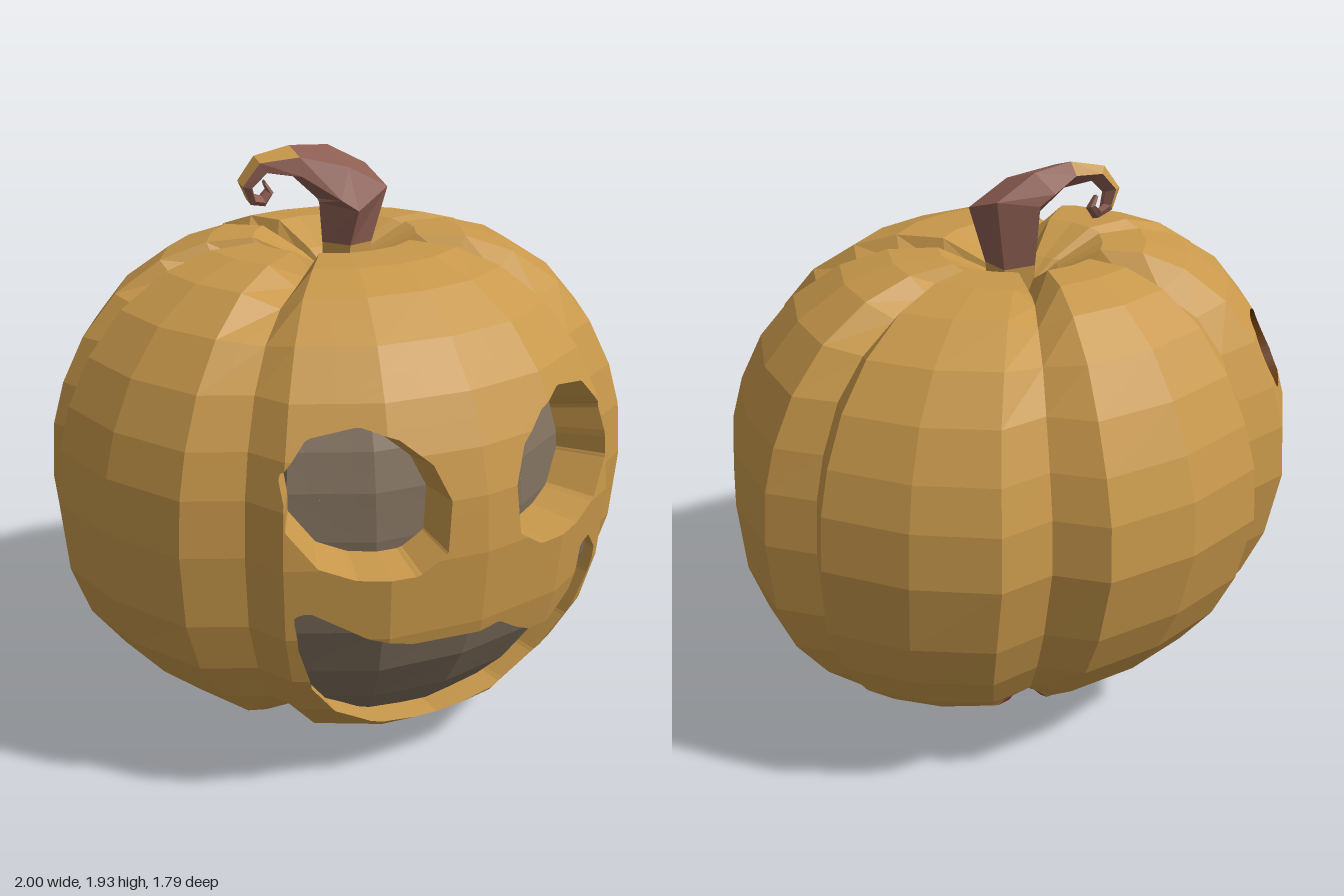
import * as THREE from 'three';

const mat = (name, color) => {
  const m = new THREE.MeshStandardMaterial({ color });
  m.name = name;
  m.flatShading = true;
  return m;
};

// Plan outline of the left half, front to back: x, z, groove flag
const HALF = [
  [0, 0.895], [0.31, 0.855], [0.59, 0.71], [0.65, 0.58, 1], [0.82, 0.49], [0.95, 0.23], [1, -0.05],
  [0.9, -0.19, 1], [0.94, -0.28], [0.79, -0.525], [0.59, -0.71], [0.41, -0.72, 1], [0.3, -0.86], [0, -0.9],
];
const OUTLINE = [...HALF, ...HALF.slice(1, -1).reverse().map(([x, z, g]) => [-x, z, g])];

// Rib profile from bottom to top: outline scale, height, groove lift, forward lean of front and back
const PROFILE = [
  [0, 0.02, 0, 0, 0], [0.15, 0.005, 0.03, 0.05, 0.02], [0.36, 0.07, 0.05, 0.08, 0.05],
  [0.55, 0.15, 0.055, 0.09, 0.1], [0.67, 0.215, 0.03, 0.09, 0.13], [0.81, 0.34, 0, 0.055, 0.09],
  [0.92, 0.49, 0, 0.02, 0.07], [0.98, 0.66, 0, 0, 0.04], [1, 0.9, 0, 0, 0], [0.985, 1.08, 0, 0, 0],
  [0.945, 1.22, 0, 0, 0.01], [0.87, 1.37, 0, 0, 0.02], [0.755, 1.505, -0.02, 0, 0.02],
  [0.6, 1.605, -0.05, 0, 0.02], [0.44, 1.652, -0.07, 0.01, 0.01], [0.28, 1.656, -0.09, 0, 0],
  [0.12, 1.58, -0.06, 0, 0], [0, 1.5, 0, 0, 0],
];
const RED_ROWS = 3;
const CENTRE_Z = -0.06;

// Face cut-outs in x, y
const EYE = [
  [0.115, 1.08], [0.16, 1.19], [0.25, 1.27], [0.35, 1.31], [0.49, 1.28], [0.575, 1.18], [0.58, 1.02],
  [0.5, 0.905], [0.4, 0.865], [0.22, 0.86], [0.13, 0.92],
];
const MOUTH = [
  [-0.56, 0.74], [-0.52, 0.755], [-0.46, 0.72], [-0.36, 0.66], [-0.22, 0.62], [0, 0.615], [0.08, 0.625],
  [0.16, 0.57], [0.22, 0.54], [0.32, 0.54], [0.42, 0.6], [0.44, 0.68], [0.45, 0.76], [0.5, 0.77],
  [0.555, 0.7], [0.55, 0.6], [0.48, 0.45], [0.38, 0.32], [0.25, 0.24], [0, 0.2], [-0.25, 0.24],
  [-0.38, 0.32], [-0.48, 0.45], [-0.54, 0.62],
];

// Signed distance to a polygon, negative inside
function polygonDistance(poly, x, y) {
  let best = Infinity, inside = false;
  poly.forEach(([ax, ay], i) => {
    const [bx, by] = poly[(i + 1) % poly.length];
    const ex = bx - ax, ey = by - ay;
    const t = THREE.MathUtils.clamp(((x - ax) * ex + (y - ay) * ey) / (ex * ex + ey * ey), 0, 1);
    best = Math.min(best, Math.hypot(x - ax - t * ex, y - ay - t * ey));
    if (ay > y !== by > y && x < ax + ((y - ay) / ey) * ex) inside = !inside;
  });
  return inside ? -best : best;
}

const MIDDLE = new THREE.Vector3(0, 0.95, 0);
const EYE_TARGET = new THREE.Vector3(0, 0.95, -0.3);
const HOLE_AXIS = new THREE.Vector3(-0.68, 0.33, -0.52).normalize();
const insetTowards = (target, depth) => (p) => p.clone().addScaledVector(target.clone().sub(p).normalize(), depth);
const faceCut = (poly) => (p) => (p.z > 0.2 ? polygonDistance(poly, p.x, p.y) : 9);

const CUTS = [
  { plate: 'leftEye', wall: 'eyeAndMouthWalls', f: faceCut(EYE), inset: insetTowards(EYE_TARGET, 0.17) },
  {
    plate: 'rightEye', wall: 'eyeAndMouthWalls', inset: insetTowards(EYE_TARGET, 0.17),
    f: faceCut(EYE.map(([x, y]) => [-x, y])),
  },
  {
    // Deeper towards the lower lip
    plate: 'mouth', wall: 'eyeAndMouthWalls', f: faceCut(MOUTH),
    inset: (p) => p.clone().addScaledVector(
      new THREE.Vector3(-0.18 * p.x, 0, -p.z).normalize(), 0.05 + 0.12 * (0.6 - p.y)),
  },
  {
    plate: 'backHole', wall: 'backHoleWall', inset: insetTowards(MIDDLE, 0.08),
    f: (p) => {
      const d = p.clone().sub(MIDDLE), along = d.dot(HOLE_AXIS);
      return along > 0 ? Math.sqrt(Math.max(0, d.lengthSq() - along * along)) - 0.138 : 9;
    },
  },
];

export function createModel() {
  const group = new THREE.Group();
  const rind = mat('pumpkin rind', 0xc8984b);
  const red = mat('dark red base', 0x964040);
  const brown = mat('stem brown', 0x8e5f53);
  const grey = mat('hollow grey', 0x80705e);
  const dark = mat('hole brown', 0x683c10);

  const faces = {};
  const addPoly = (name, pts) => {
    const list = (faces[name] ??= []);
    for (let i = 1; i + 1 < pts.length; i++) list.push(pts[0], pts[i], pts[i + 1]);
  };

  // Keep the part of a triangle outside a cut; recess the part inside and join them by a wall
  function clip(tri, cut, name) {
    const v = tri.map(cut.f), out = [], inn = [];
    let leave, enter;
    tri.forEach((p, i) => {
      const k = (i + 1) % 3;
      (v[i] >= 0 ? out : inn).push(p);
      if (v[i] >= 0 === v[k] >= 0) return;
      const m = p.clone().lerp(tri[k], v[i] / (v[i] - v[k]));
      out.push(m);
      inn.push(m);
      if (v[i] >= 0) leave = m;
      else enter = m;
    });
    if (out.length) addPoly(name, out);
    if (inn.length) addPoly(cut.plate, inn.map(cut.inset));
    if (leave) addPoly(cut.wall, [enter, leave, cut.inset(leave), cut.inset(enter)]);
  }

  // Split triangles only near the edge of a cut
  function carve(tri, name) {
    const [a, b, c] = tri;
    const size = Math.max(a.distanceTo(b), b.distanceTo(c), c.distanceTo(a));
    if (new THREE.Triangle(a, b, c).getArea() < 1e-9) return;
    const mid = a.clone().add(b).add(c).divideScalar(3);
    const cut = CUTS.reduce((p, q) => (q.f(mid) < p.f(mid) ? q : p));
    const d = cut.f(mid);
    if (d > size) addPoly(name, tri);
    else if (d < -size) addPoly(cut.plate, tri.map(cut.inset));
    else if (size < 0.03) clip(tri, cut, name);
    else {
      const ab = a.clone().lerp(b, 0.5), bc = b.clone().lerp(c, 0.5), ca = c.clone().lerp(a, 0.5);
      [[a, ab, ca], [ab, b, bc], [ca, bc, c], [ab, bc, ca]].forEach((t) => carve(t, name));
    }
  }

  // Ribbed body
  const rows = PROFILE.map(([r, y, lift, front, back]) => OUTLINE.map(([x, z, groove]) =>
    new THREE.Vector3(x * r, y + (groove ? lift : 0),
      CENTRE_Z * (1 - r) + z * r + (Math.abs(z) / 0.9) * (z > 0 ? front : back))));
  for (let i = 0; i + 1 < rows.length; i++) {
    const name = i < RED_ROWS ? 'base' : 'body';
    OUTLINE.forEach((_, j) => {
      const k = (j + 1) % OUTLINE.length;
      const a = rows[i][j], b = rows[i][k], c = rows[i + 1][k], d = rows[i + 1][j];
      carve([a, b, c], name);
      carve([a, c, d], name);
    });
  }

  // Curled five-sided stem: x, y, z, radius in the curl plane, radius along z, heading in degrees
  const STEM = [
    [0.05, 1.48, -0.07, 0.08, 0.075, 90], [0.055, 1.62, -0.07, 0.088, 0.085, 88],
    [0.075, 1.795, -0.07, 0.125, 0.125, 108], [0.0, 1.84, -0.085, 0.085, 0.12, 150],
    [-0.11, 1.885, -0.12, 0.045, 0.065, 175], [-0.21, 1.88, -0.16, 0.028, 0.04, 215],
    [-0.257, 1.82, -0.18, 0.023, 0.035, 265], [-0.235, 1.768, -0.185, 0.018, 0.03, 320],
    [-0.19, 1.755, -0.19, 0.015, 0.025, 10], [-0.165, 1.785, -0.19, 0.012, 0.02, 85],
    [-0.185, 1.815, -0.19, 0.008, 0.012, 150],
  ];
  const rings = STEM.map(([x, y, z, rn, rz, deg], i) => {
    const a = THREE.MathUtils.degToRad(deg);
    const rise = i > 1 ? 0.35 : 0; // the top slopes up to the back
    return [0, 1, 2, 3, 4].map((j) => {
      const t = ((j + 0.5) * 2 * Math.PI) / 5, n = rn * Math.cos(t), back = rz * Math.sin(t);
      return new THREE.Vector3(x + n * Math.sin(a), y - n * Math.cos(a) + rise * back, z - back);
    });
  });
  for (let i = 0; i + 1 < rings.length; i++) {
    for (let j = 0; j < 5; j++) {
      const k = (j + 1) % 5;
      const pale = i === 0 || (i === 1 && j === 1) || (i >= 4 && i <= 6 && (j === 4 || j === 0));
      addPoly(pale ? 'stemPaleSide' : 'stem', [rings[i][j], rings[i][k], rings[i + 1][k], rings[i + 1][j]]);
    }
  }
  addPoly('stem', rings[rings.length - 1]);

  const materials = {
    body: rind, eyeAndMouthWalls: rind, stemPaleSide: rind, base: red, stem: brown,
    leftEye: grey, rightEye: grey, mouth: grey, backHole: dark, backHoleWall: dark,
  };
  for (const [name, points] of Object.entries(faces)) {
    const geometry = new THREE.BufferGeometry().setFromPoints(points);
    geometry.computeVertexNormals();
    const mesh = new THREE.Mesh(geometry, materials[name]);
    mesh.name = name;
    group.add(mesh);
  }
  return group;
}
